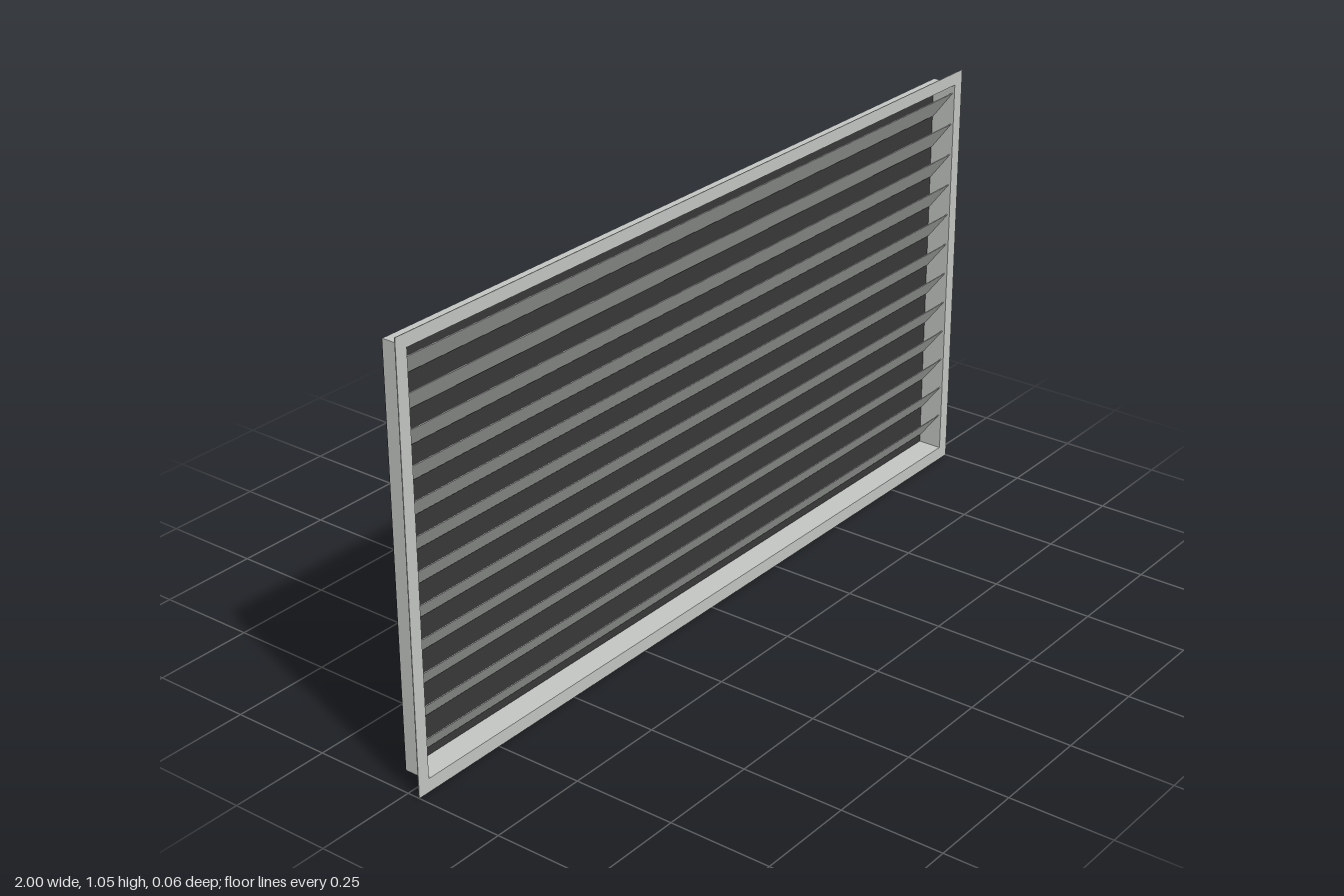
import * as THREE from 'three';

const WIDTH = 1.944, BOTTOM = 0.03, TOP = 1.022; // duct sleeve outline
const DEPTH = 0.06, SHEET = 0.003;

// Rectangular ring, extruded along z
function ring(x, y0, y1, ix, iy0, iy1, depth) {
  const rect = (P, w, a, b) => {
    const p = new P();
    p.moveTo(-w, a);
    p.lineTo(w, a);
    p.lineTo(w, b);
    p.lineTo(-w, b);
    p.closePath();
    return p;
  };
  const shape = rect(THREE.Shape, x, y0, y1);
  shape.holes.push(rect(THREE.Path, ix, iy0, iy1));
  return new THREE.ExtrudeGeometry(shape, { depth, bevelEnabled: false });
}

export function createModel() {
  const group = new THREE.Group();
  group.name = 'ventGrille';
  const metal = new THREE.MeshStandardMaterial({ color: 0xc2c5c2 });
  metal.name = 'light grey metal';
  const dark = new THREE.MeshStandardMaterial({ color: 0x373837 });
  dark.name = 'dark backing';

  const add = (name, geometry, material, y, z) => {
    const mesh = new THREE.Mesh(geometry, material);
    mesh.name = name;
    mesh.position.set(0, y, z);
    group.add(mesh);
    return mesh;
  };

  // Thin front flange and the sleeve behind it
  const w = WIDTH / 2, iw = w - SHEET, iBottom = BOTTOM + SHEET, iTop = TOP - SHEET;
  add('flange', ring(1, 0, 1.05, iw, iBottom, iTop, 0.002), metal, 0, 0.03);
  add('sleeve', ring(w, BOTTOM, TOP, iw, iBottom, iTop, DEPTH), metal, 0, -0.03);

  // Dark plate closing the back
  add('backPlate', new THREE.BoxGeometry(WIDTH - 0.002, TOP - BOTTOM - 0.004, 0.003),
    dark, (TOP + BOTTOM) / 2, -0.0305);

  // Twelve slats, front edge high and back edge low
  const rise = 0.069, run = 0.053, count = 12, pitch = 0.0793;
  const slat = new THREE.BoxGeometry(iw * 2, Math.hypot(rise, run), 0.002);
  for (let i = 0; i < count; i++) {
    const y = 0.526 + (i - (count - 1) / 2) * pitch;
    add('slat' + (i + 1), slat, metal, y, -0.001).rotation.x = Math.atan2(run, rise);
  }
  return group;
}
